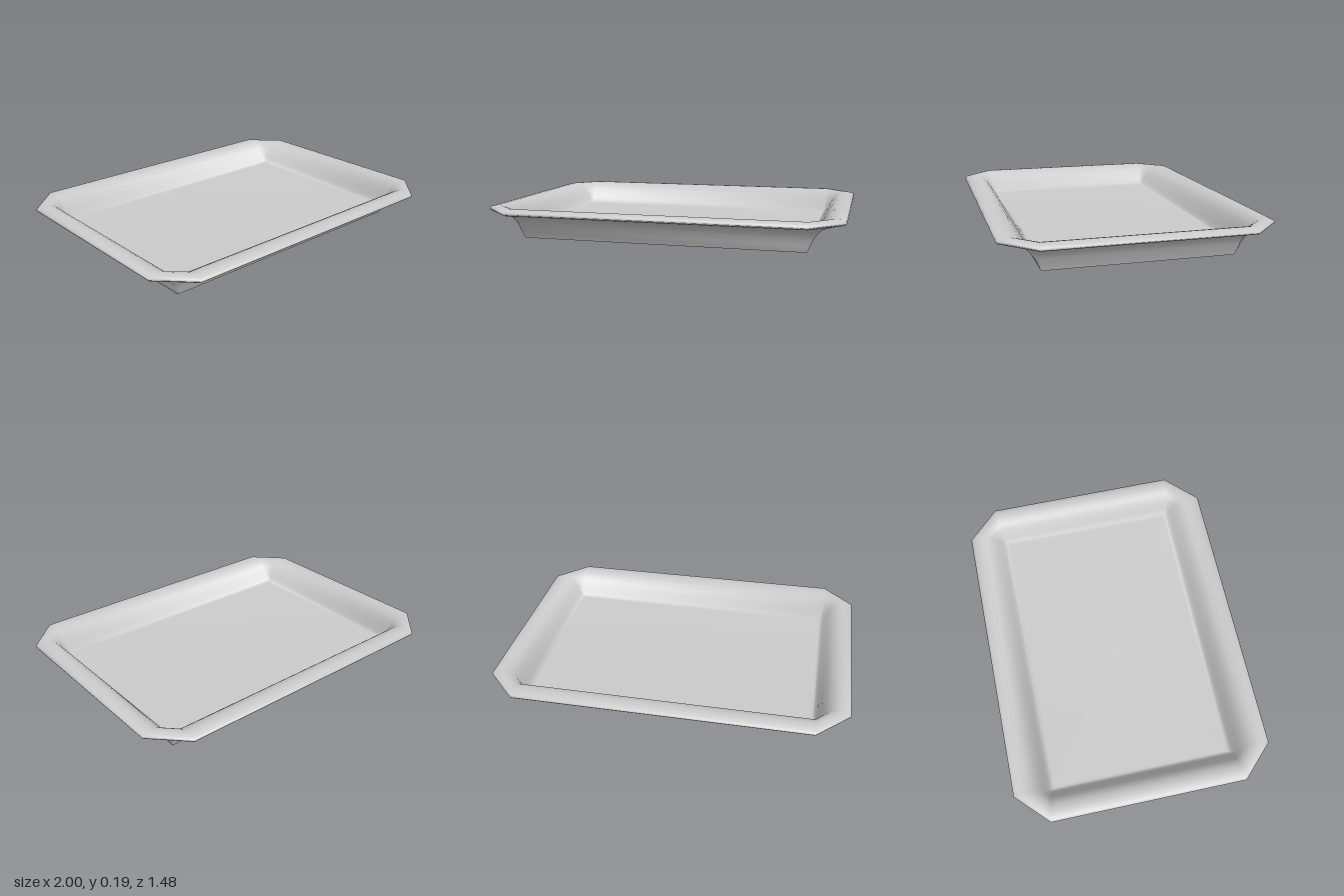
import * as THREE from 'three';
import { toCreasedNormals } from 'three/addons/utils/BufferGeometryUtils.js';

// Wall section [t, y]: t = 0 at the base rectangle, t = 1 at the outer rim edge
const section = [
  // underside and outer wall
  [-0.1, 0], [-0.05, 0.001], [-0.03, 0.01], [0.04, 0.04], [0.11, 0.07], [0.22, 0.102], [0.33, 0.126],
  [0.5, 0.139], [0.7, 0.149], [0.88, 0.156],
  // rounded rim
  [0.95, 0.16], [0.99, 0.165], [1, 0.169], [0.985, 0.177], [0.93, 0.184], [0.82, 0.189], [0.68, 0.19],
  // inner wall and edge of the floor
  [0.54, 0.184], [0.42, 0.171], [0.31, 0.151], [0.2, 0.12], [0.1, 0.09], [0.02, 0.066], [-0.03, 0.06], [-0.1, 0.059],
];

// Eight-cornered ring whose corner cuts shrink to points at the base
function ring(t, y) {
  const s = Math.max(t, 0);
  const x = 0.81 + 0.19 * t, z = 0.53 + 0.21 * t;
  const cx = Math.min(x, 0.81 + 0.01 * s), cz = Math.min(z, 0.53 + 0.03 * s);
  return [[x, -cz], [x, cz], [cx, z], [-cx, z], [-x, cz], [-x, -cz], [-cx, -z], [cx, -z]]
    .map(([px, pz]) => new THREE.Vector3(px, y, pz));
}

export function createModel() {
  const centre = (y) => Array.from({ length: 8 }, () => new THREE.Vector3(0, y, 0));
  const rings = [centre(0), ...section.map(([t, y]) => ring(t, y)), centre(0.059)];

  // Skin neighbouring rings, leaving out collapsed triangles
  const positions = [];
  const tri = new THREE.Triangle();
  const addFace = (a, b, c) => {
    if (tri.set(a, b, c).getArea() > 1e-9) {
      for (const p of [a, b, c]) positions.push(p.x, p.y, p.z);
    }
  };
  for (let i = 0; i < rings.length - 1; i++) {
    for (let j = 0; j < 8; j++) {
      const k = (j + 1) % 8;
      addFace(rings[i][j], rings[i + 1][j], rings[i + 1][k]);
      addFace(rings[i][j], rings[i + 1][k], rings[i][k]);
    }
  }
  const geometry = new THREE.BufferGeometry();
  geometry.setAttribute('position', new THREE.Float32BufferAttribute(positions, 3));

  const tray = new THREE.Mesh(
    toCreasedNormals(geometry, 0.95),
    new THREE.MeshStandardMaterial({ color: 0xcccccc })
  );
  tray.name = 'tray';

  const group = new THREE.Group();
  group.name = 'servingTray';
  group.add(tray);
  return group;
}
